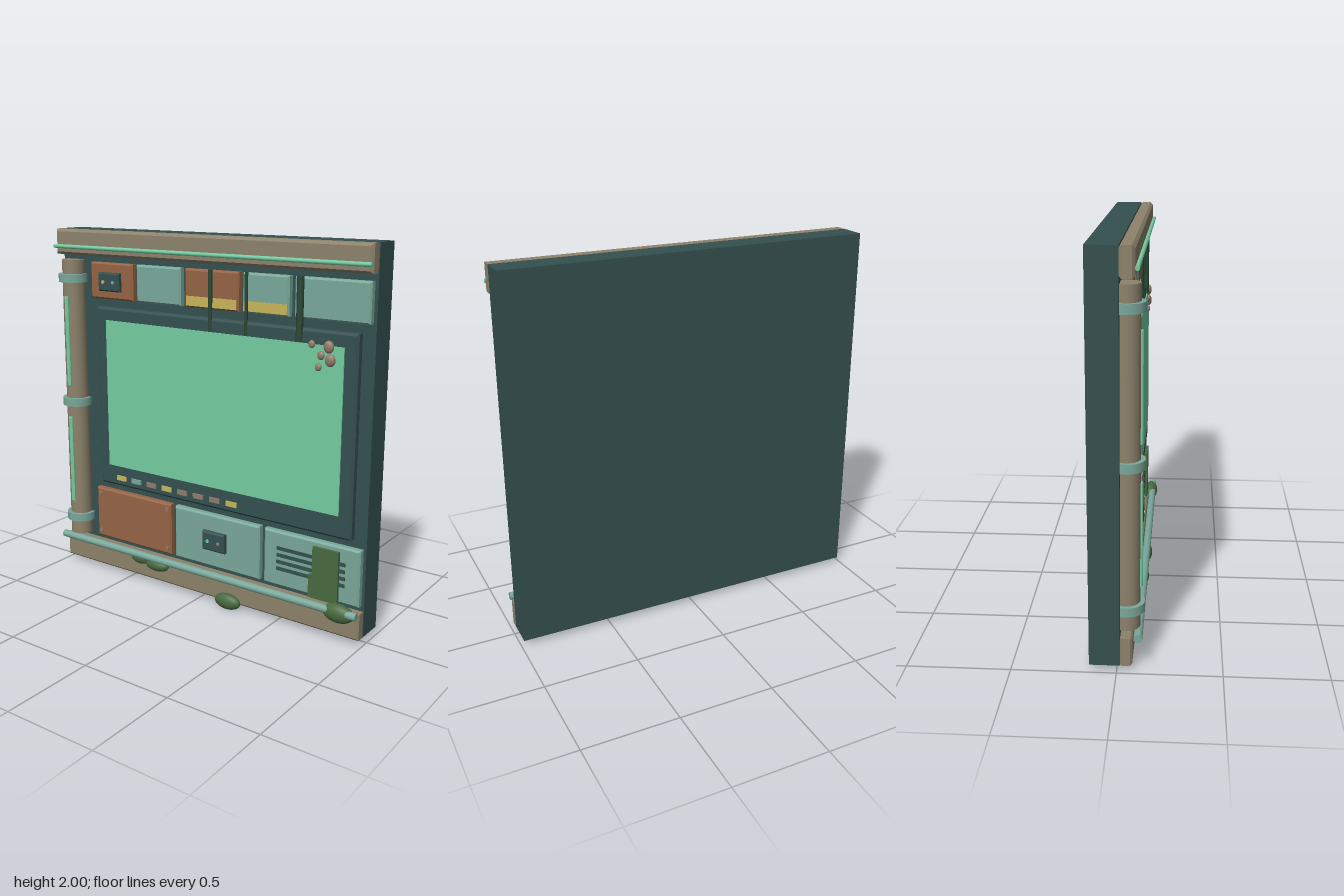
import * as THREE from 'three';

const mat = (name, color) => Object.assign(new THREE.MeshStandardMaterial({ color }), { name });

export function createModel() {
  const root = new THREE.Group();
  root.name = 'wallConsole';
  const M = {
    dark: mat('darkTealMetal', 0x34504f),
    stone: mat('taupeMetal', 0x8d826b),
    copper: mat('copper', 0x966444),
    teal: mat('paleTeal', 0x7aa89b),
    glow: mat('mintGlow', 0x74cca2),
    yellow: mat('mustard', 0xc8b65a),
    moss: mat('moss', 0x48693f),
    cable: mat('darkGreenCable', 0x2c4835),
    fungus: mat('fungus', 0x917c69),
  };
  const add = (name, geo, material, x, y, z) => {
    const m = new THREE.Mesh(geo, material);
    m.name = name;
    m.position.set(x, y, z);
    root.add(m);
    return m;
  };
  // Plain and chamfered boxes given by their limits
  const box = (name, material, x0, x1, y0, y1, z0, z1) =>
    add(name, new THREE.BoxGeometry(x1 - x0, y1 - y0, z1 - z0), material,
      (x0 + x1) / 2, (y0 + y1) / 2, (z0 + z1) / 2);
  const chamfer = (name, material, x0, x1, y0, y1, z0, z1, b) => {
    const s = new THREE.Shape();
    s.moveTo(x0 + b, y0 + b);
    s.lineTo(x1 - b, y0 + b);
    s.lineTo(x1 - b, y1 - b);
    s.lineTo(x0 + b, y1 - b);
    s.closePath();
    const g = new THREE.ExtrudeGeometry(s, {
      depth: z1 - z0 - 2 * b, bevelEnabled: true, bevelSegments: 1, bevelSize: b, bevelThickness: b,
    });
    return add(name, g, material, 0, 0, z0 + b);
  };
  const rod = (name, material, r, length, x, y, z, sides = 16) =>
    add(name, new THREE.CylinderGeometry(r, r, length, sides), material, x, y, z);
  const blob = (name, material, x, y, z, rx, ry, rz) =>
    add(name, new THREE.SphereGeometry(1, 20, 14), material, x, y, z).scale.set(rx, ry, rz);

  // Wall slab and the beams along top and bottom
  box('wallSlab', M.dark, -0.985, 0.985, 0.035, 2, -0.13, 0.016);
  chamfer('topBeam', M.stone, -0.985, 0.985, 1.86, 2, 0.012, 0.086, 0.014);
  chamfer('bottomBeam', M.stone, -0.985, 0.985, 0.035, 0.178, 0.012, 0.074, 0.01);
  rod('topLightTube', M.glow, 0.011, 1.97, 0, 1.905, 0.094, 12).rotation.z = Math.PI / 2;
  rod('bottomPipe', M.teal, 0.021, 1.97, 0, 0.178, 0.1).rotation.z = Math.PI / 2;

  // Column with collars and light strips
  rod('column', M.stone, 0.065, 1.63, -0.892, 1.017, 0.043, 24);
  for (const y of [0.308, 1.015, 1.73]) rod('columnCollar', M.teal, 0.085, 0.046, -0.892, y, 0.045, 24);
  for (const [y0, y1] of [[0.405, 0.925], [1.108, 1.627]])
    chamfer('columnLight', M.glow, -0.905, -0.879, y0, y1, 0.09, 0.118, 0.005);

  // Upper and lower rows of panels
  const upper = [[-0.754, -0.452, 'copper'], [-0.426, -0.127, 'teal'], [-0.098, 0.238, 'copper'],
    [0.262, 0.532, 'teal'], [0.563, 0.969, 'teal']];
  for (const [x0, x1, c] of upper) chamfer('upperPanel', M[c], x0, x1, 1.625, 1.825, 0.01, 0.055, 0.009);
  const lower = [[-0.754, -0.204, 'copper'], [-0.175, 0.384, 'teal'], [0.413, 0.971, 'teal']];
  for (const [x0, x1, c] of lower) chamfer('lowerPanel', M[c], x0, x1, 0.205, 0.507, 0.01, 0.055, 0.009);
  for (const [x0, x1] of [[-0.088, 0.228], [0.271, 0.524]])
    box('yellowStripe', M.yellow, x0, x1, 1.634, 1.685, 0.052, 0.058);

  // Rivets on the lower copper panel
  for (const x of [-0.725, -0.23]) for (const y of [0.243, 0.476])
    rod('rivet', M.fungus, 0.012, 0.012, x, y, 0.054, 12).rotation.x = Math.PI / 2;

  // Sockets with two contacts
  const socket = (x, y, w, h, left, right) => {
    chamfer('socket', M.dark, x - w / 2, x + w / 2, y - h / 2, y + h / 2, 0.045, 0.08, 0.008);
    for (const [dx, material] of [[-0.035, left], [0.035, right]])
      rod('socketContact', material, 0.01, 0.01, x + dx, y, 0.08, 12).rotation.x = Math.PI / 2;
  };
  socket(-0.605, 1.722, 0.15, 0.102, M.yellow, M.teal);
  socket(0.102, 0.361, 0.146, 0.108, M.glow, M.fungus);

  // Vent slats
  for (let i = 0; i < 4; i++)
    box('ventSlat', M.dark, 0.495, 0.892, 0.296 + i * 0.0375, 0.314 + i * 0.0375, 0.05, 0.062);

  // Screen, surround and button row
  chamfer('screenSurround', M.dark, -0.706, 0.918, 0.55, 1.58, 0.01, 0.064, 0.012);
  box('screen', M.glow, -0.637, 0.849, 0.67, 1.51, 0.062, 0.07);
  const buttons = ['yellow', 'teal', 'fungus', 'yellow', 'fungus', 'fungus', 'fungus', 'yellow'];
  buttons.forEach((c, i) => {
    const x = -0.547 + i * 0.1087;
    box('button', M[c], x - 0.033, x + 0.033, 0.587, 0.614, 0.06, 0.073);
  });

  // Hanging cables
  for (const [x, r] of [[0.071, 0.011], [0.291, 0.009], [0.6, 0.018]])
    rod('cable', M.cable, r, 0.315, x, 1.672, 0.062, 10);

  // Moss sheets and clumps
  box('mossSheet', M.moss, 0.712, 0.86, 0.2, 0.48, 0.055, 0.072);
  box('mossSheetEdge', M.moss, 0.691, 0.714, 0.2, 0.325, 0.055, 0.07);
  for (const [x, y, rx, ry, rz] of [[-0.398, 0.157, 0.065, 0.036, 0.03], [-0.278, 0.14, 0.08, 0.036, 0.034],
    [0.208, 0.048, 0.081, 0.044, 0.034], [0.88, 0.168, 0.087, 0.05, 0.04]])
    blob('mossClump', M.moss, x, y, 0.09, rx, ry, rz);

  // Fungus cluster on the screen corner
  for (const [x, y, r] of [[0.675, 1.51, 0.017], [0.768, 1.505, 0.027], [0.727, 1.46, 0.019],
    [0.778, 1.441, 0.027], [0.714, 1.402, 0.017]])
    blob('fungus', M.fungus, x, y, 0.072, r, r * 1.15, r * 0.65);

  return root;
}
